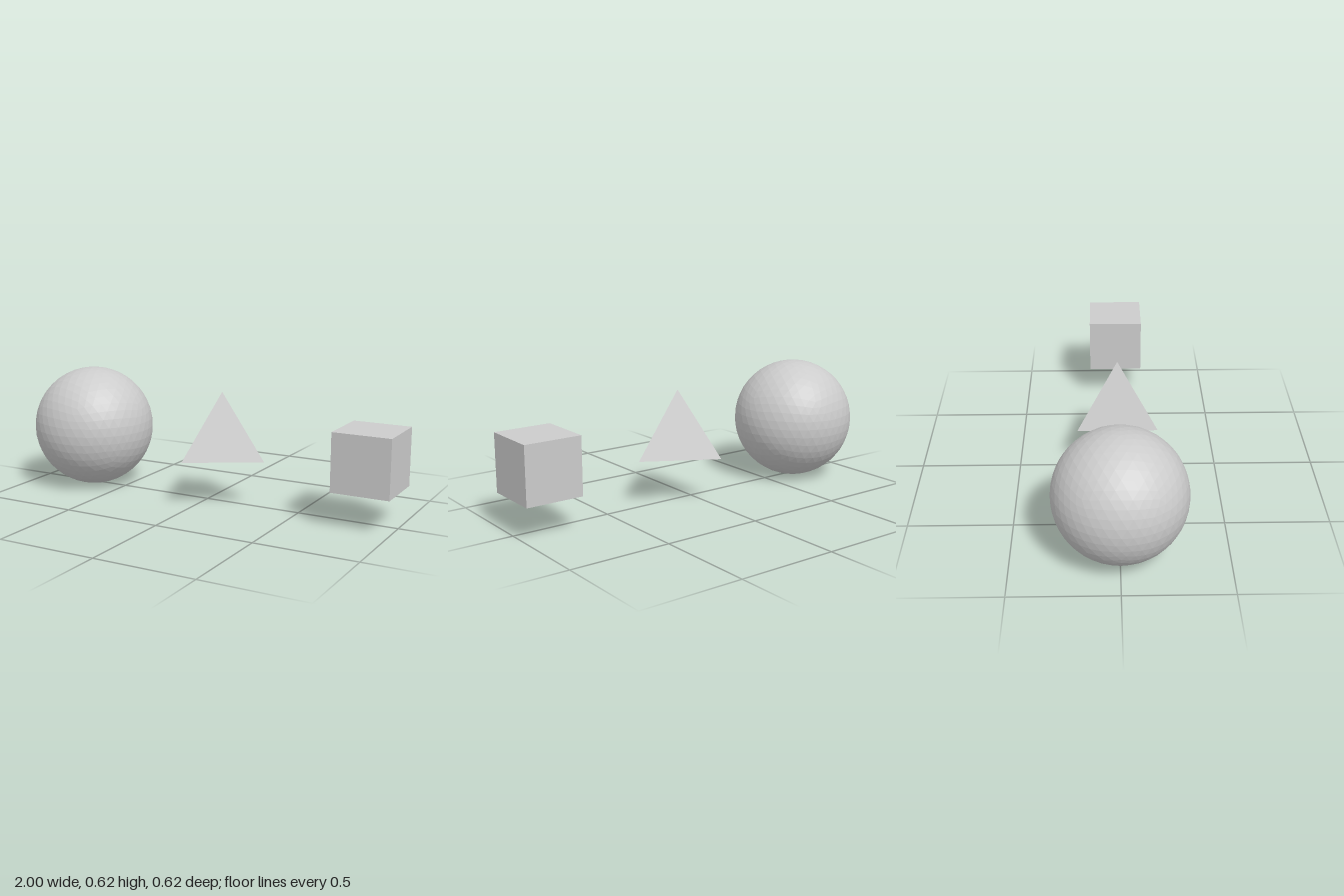
import * as THREE from 'three';

export function createModel() {
  const group = new THREE.Group();
  const material = new THREE.MeshStandardMaterial({ color: 0xcccccc, flatShading: true });
  const centreY = 0.31;

  const add = (name, geometry, x, y) => {
    const mesh = new THREE.Mesh(geometry, material);
    mesh.name = name;
    mesh.position.set(x, y, 0);
    group.add(mesh);
  };

  // Faceted ball, turned so that one corner of the icosahedron points straight up
  const ball = new THREE.IcosahedronGeometry(0.31, 7);
  ball.rotateZ(-Math.atan(2 / (1 + Math.sqrt(5))));
  add('sphere', ball, -0.69, centreY);

  // Regular tetrahedron: one base corner points to +x
  const edge = 0.403;
  const height = edge * Math.sqrt(2 / 3);
  const tetra = new THREE.ConeGeometry(edge / Math.sqrt(3), height, 3);
  tetra.rotateY(Math.PI / 2);
  add('tetrahedron', tetra, 0.081, centreY + height / 4);

  // Cube
  add('cube', new THREE.BoxGeometry(0.284, 0.284, 0.284), 0.857, centreY);

  return group;
}
